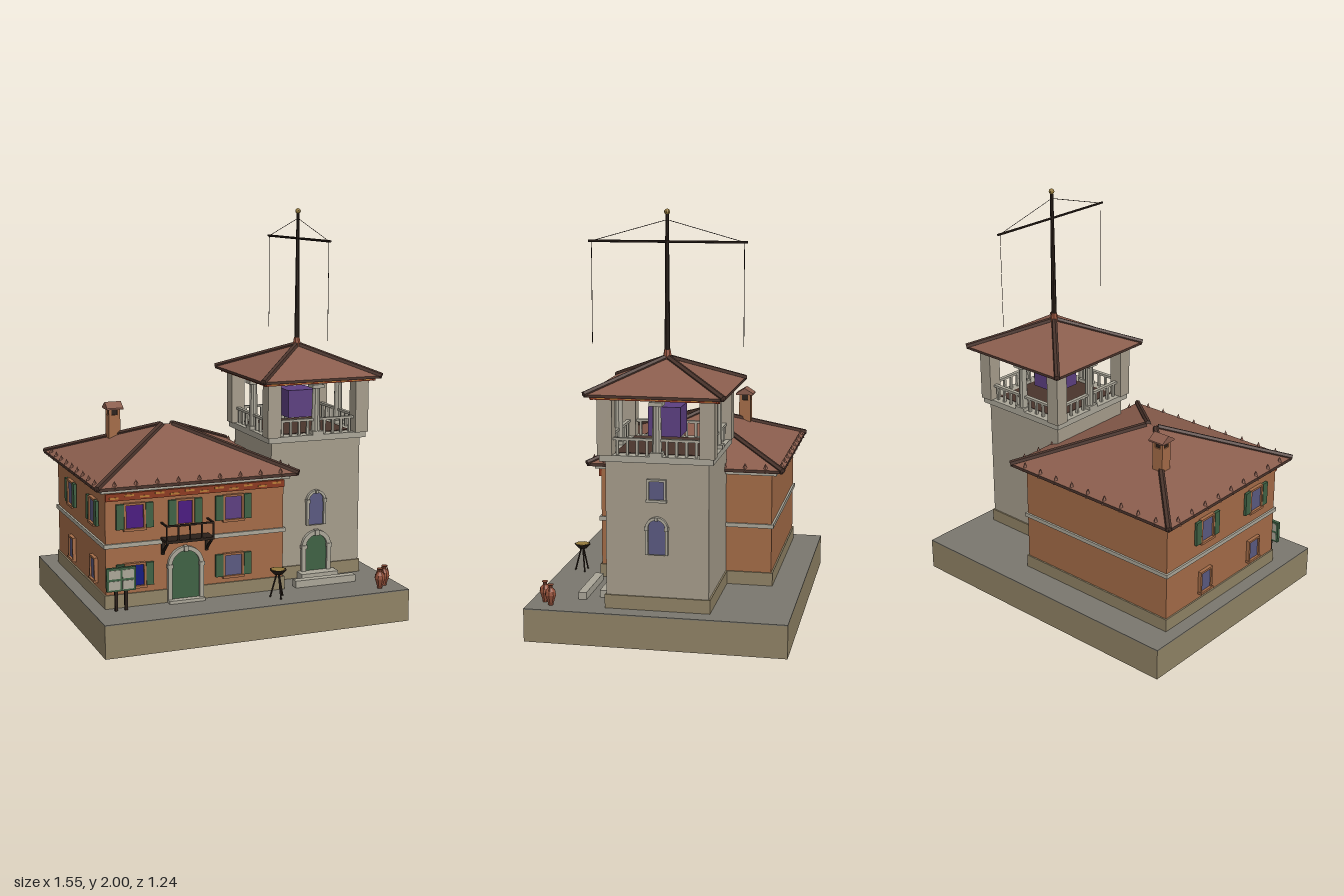
import * as THREE from 'three';

const C = {
  soil: 0x8f8265, paving: 0x7a776e, wall: 0xa36b47, tower: 0xa59c8b, stone: 0xaaa698, roof: 0x8a5d4d,
  hip: 0x4a342c, red: 0x8c3a20, orange: 0xb87a35, green: 0x3f6144, dark: 0x2b2019, purple: 0x5c3f80,
  violet: 0x4a1a80, slate: 0x5a5980, blue: 0x141a80, gold: 0x94793c, clay: 0x94513a,
};
const mats = {};
const mat = (c) => (mats[c] ??= new THREE.MeshStandardMaterial({ color: c, flatShading: true }));

function add(parent, name, geo, color, x = 0, y = 0, z = 0) {
  const m = new THREE.Mesh(geo, mat(color));
  m.name = name;
  m.position.set(x, y, z);
  parent.add(m);
  return m;
}
// box standing on height y
const box = (p, name, c, w, h, d, x, y, z) => add(p, name, new THREE.BoxGeometry(w, h, d), c, x, y + h / 2, z);

function group(parent, name, x = 0, y = 0, z = 0, ry = 0) {
  const g = new THREE.Group();
  g.name = name;
  g.position.set(x, y, z);
  g.rotation.y = ry;
  parent.add(g);
  return g;
}

// round or square rod between two points
function rod(p, name, c, a, b, r0, r1 = r0, sides = 6) {
  const A = new THREE.Vector3(...a), B = new THREE.Vector3(...b), d = B.clone().sub(A);
  const m = add(p, name, new THREE.CylinderGeometry(r1, r0, d.length(), sides), c);
  m.position.copy(A).add(B).multiplyScalar(0.5);
  m.quaternion.setFromUnitVectors(new THREE.Vector3(0, 1, 0), d.normalize());
  return m;
}

// hipped roof: a box whose top shrinks to a short ridge, with eave slab and hip beams
function hipRoof(p, w, d, h, rw, rd, eave, x, y, z) {
  const g = group(p, 'roof', x, y, z);
  box(g, 'eaveSlab', C.hip, w, eave, d, 0, 0, 0);
  const geo = new THREE.BoxGeometry(w, h, d), v = geo.attributes.position;
  for (let i = 0; i < v.count; i++)
    if (v.getY(i) > 0) v.setXYZ(i, Math.sign(v.getX(i)) * rw / 2, h / 2, Math.sign(v.getZ(i)) * rd / 2);
  geo.computeVertexNormals();
  add(g, 'roofSlopes', geo, C.roof, 0, eave + h / 2, 0);
  for (const sx of [-1, 1]) for (const sz of [-1, 1])
    rod(g, 'hipBeam', C.hip, [sx * w / 2, eave, sz * d / 2], [sx * rw / 2, eave + h, sz * rd / 2], 0.015);
  return g;
}

function archShape(w, h, S = THREE.Shape) {
  const s = new S(), r = w / 2;
  s.moveTo(-r, 0);
  s.lineTo(r, 0);
  s.lineTo(r, h - r);
  s.absarc(0, h - r, r, 0, Math.PI, false);
  s.lineTo(-r, 0);
  return s;
}

// arched opening facing +z: panel, stone surround, impost blocks and keystone
function arch(p, name, c, w, h, t, x, y, z, ry = 0) {
  const g = group(p, name, x, y, z, ry);
  const ext = (s, depth) => new THREE.ExtrudeGeometry(s, { depth, bevelEnabled: false, curveSegments: 8 });
  add(g, 'panel', ext(archShape(w, h), 0.006), c);
  const frame = archShape(w + 2 * t, h + t);
  frame.holes.push(archShape(w, h, THREE.Path));
  add(g, 'stoneSurround', ext(frame, 0.018), C.stone);
  for (const s of [-1, 1]) box(g, 'impost', C.stone, t * 1.3, 0.018, 0.024, s * (w + t) / 2, h - w / 2 - 0.01, 0.012);
  box(g, 'keystone', C.stone, t, t * 1.3, 0.026, 0, h - 0.003, 0.013);
  return g;
}

// rectangular window facing +z with optional shutters
function squareWindow(p, c, w, h, x, y, z, ry, shutters, frame = C.wall) {
  const g = group(p, 'window', x, y, z, ry);
  box(g, 'glass', c, w, h, 0.01, 0, 0, 0.005);
  for (const s of [-1, 1]) {
    box(g, 'jamb', frame, 0.01, h, 0.02, s * (w / 2 + 0.005), 0, 0.008);
    if (shutters) box(g, 'shutter', C.green, 0.037, h + 0.01, 0.014, s * (w / 2 + 0.03), -0.002, 0.012);
  }
  box(g, 'lintel', frame, w + 0.02, 0.01, 0.02, 0, h, 0.008);
  box(g, 'sill', frame, w + 0.025, 0.012, 0.026, 0, -0.012, 0.01);
}

function house(root) {
  const g = group(root, 'house', -0.25, 0, -0.04);
  const W = 0.9, D = 0.854, F = D / 2;
  box(g, 'walls', C.wall, W, 0.58, D, 0, 0.16, 0);
  box(g, 'plinth', C.soil, W + 0.015, 0.065, D + 0.015, 0, 0.16, 0);
  box(g, 'stringCourse', C.stone, W + 0.02, 0.02, D + 0.02, 0, 0.45, 0);
  box(g, 'soffit', C.stone, W + 0.05, 0.018, D + 0.05, 0, 0.717, 0);
  box(g, 'frieze', C.red, W, 0.035, 0.015, 0, 0.675, F + 0.005);
  for (let i = 0; i < 12; i++)
    box(g, 'friezeBlock', C.orange, 0.045, 0.009, 0.012, -0.41 + i * 0.0745, i % 2 ? 0.694 : 0.684, F + 0.009);
  // roof with pointed eave tiles
  const RW = 1.01, RD = 0.97, roof = hipRoof(g, RW, RD, 0.19, 0.06, 0.015, 0.015, 0, 0.735, 0);
  const tile = (x, z) => add(roof, 'eaveTile', new THREE.ConeGeometry(0.02, 0.045, 4), C.roof, x, 0.022, z);
  for (let i = 0; i < 9; i++) for (const s of [-1, 1]) {
    tile((i - 4) * 0.104, s * (RD / 2 - 0.015));
    tile(s * (RW / 2 - 0.015), (i - 4) * 0.1);
  }
  // windows
  [[-0.31, C.violet, 0.085], [-0.06, C.violet, 0.07], [0.185, C.purple, 0.085]].forEach(([x, c, w]) =>
    squareWindow(g, c, w, 0.11, x, 0.54, F, 0, true));
  squareWindow(g, C.blue, 0.085, 0.1, -0.31, 0.262, F, 0, true);
  squareWindow(g, C.slate, 0.085, 0.1, 0.185, 0.262, F, 0, true);
  for (const z of [-0.14, 0.25]) {
    squareWindow(g, C.slate, 0.08, 0.11, -W / 2, 0.54, z, -Math.PI / 2, true);
    squareWindow(g, C.slate, 0.07, 0.1, -W / 2, 0.262, z, -Math.PI / 2, false);
  }
  // entrance
  arch(g, 'frontDoor', C.green, 0.14, 0.235, 0.02, -0.06, 0.175, F + 0.005);
  box(g, 'doorstep', C.stone, 0.18, 0.015, 0.045, -0.06, 0.16, F + 0.022);
  // balcony
  const b = group(g, 'balcony', -0.06, 0.467, F);
  box(b, 'deck', C.dark, 0.24, 0.013, 0.085, 0, 0, 0.042);
  box(b, 'rail', C.dark, 0.24, 0.008, 0.008, 0, 0.08, 0.08);
  for (let i = 0; i < 5; i++) box(b, 'railPost', C.dark, 0.007, 0.08, 0.007, (i - 2) * 0.058, 0.005, 0.08);
  for (const s of [-1, 1]) {
    box(b, 'sideRail', C.dark, 0.008, 0.008, 0.08, s * 0.116, 0.08, 0.042);
    rod(b, 'bracket', C.dark, [s * 0.11, 0, 0.075], [s * 0.11, -0.06, 0.005], 0.007);
    box(b, 'wallBracket', C.dark, 0.014, 0.075, 0.012, s * 0.11, -0.07, 0.006);
  }
  // chimney with open sides and a small gabled cap
  const c = group(g, 'chimney', -0.22, 0.8, -0.195);
  box(c, 'stack', C.wall, 0.06, 0.17, 0.06, 0, 0, 0);
  box(c, 'flue', C.dark, 0.046, 0.04, 0.046, 0, 0.165, 0);
  for (const x of [-1, 1]) for (const z of [-1, 1]) box(c, 'corner', C.wall, 0.014, 0.035, 0.014, x * 0.023, 0.168, z * 0.023);
  const cap = new THREE.Shape([[-0.045, 0], [0.045, 0], [0.045, 0.008], [0, 0.036], [-0.045, 0.008]].map((q) => new THREE.Vector2(...q)));
  add(c, 'cap', new THREE.ExtrudeGeometry(cap, { depth: 0.085, bevelEnabled: false }), C.roof, -0.0425, 0.2, 0).rotation.y = Math.PI / 2;
}

function tower(root) {
  const g = group(root, 'tower', 0.44, 0, 0), H = 0.242;
  box(g, 'shaft', C.tower, 2 * H, 0.71, 2 * H, 0, 0.16, 0);
  box(g, 'plinth', C.soil, 2 * H + 0.015, 0.065, 2 * H + 0.015, 0, 0.16, 0);
  box(g, 'cornice', C.stone, 0.53, 0.03, 0.53, 0, 0.862, 0);
  box(g, 'floor', C.hip, 0.41, 0.004, 0.41, 0, 0.891, 0);
  arch(g, 'towerDoor', C.green, 0.115, 0.185, 0.022, 0, 0.195, H + 0.006);
  box(g, 'threshold', C.stone, 0.2, 0.035, 0.07, 0, 0.16, H + 0.035);
  box(g, 'frontStep', C.stone, 0.325, 0.035, 0.04, -0.013, 0.16, 0.385);
  arch(g, 'frontWindow', C.slate, 0.08, 0.165, 0.013, 0, 0.43, H);
  arch(g, 'sideWindow', C.slate, 0.08, 0.165, 0.013, H, 0.43, 0, Math.PI / 2);
  squareWindow(g, C.slate, 0.07, 0.085, H, 0.69, 0, Math.PI / 2, false, C.stone);
  // open belvedere: four identical sides
  for (let k = 0; k < 4; k++) {
    const s = group(g, 'belvedereSide', 0, 0, 0, k * Math.PI / 2);
    box(s, 'cornerPost', C.tower, 0.07, 0.275, 0.07, 0.238, 0.89, 0.238);
    box(s, 'columnBase', C.stone, 0.058, 0.02, 0.058, 0, 0.89, 0.238);
    add(s, 'column', new THREE.CylinderGeometry(0.019, 0.023, 0.22, 10), C.stone, 0, 1.02, 0.238);
    box(s, 'capital', C.stone, 0.062, 0.018, 0.062, 0, 1.125, 0.238);
    box(s, 'topBlock', C.stone, 0.045, 0.025, 0.045, 0, 1.14, 0.238);
    box(s, 'handrail', C.stone, 0.41, 0.012, 0.02, 0, 0.96, 0.238);
    for (let i = -4; i <= 4; i++) if (i) box(s, 'baluster', C.stone, 0.012, 0.075, 0.012, i * 0.046, 0.888, 0.238);
    box(s, 'frieze', C.red, 0.6, 0.016, 0.012, 0, 1.152, 0.288);
    for (let i = -4; i <= 4; i++) box(s, 'friezeBlock', C.orange, 0.035, 0.007, 0.01, i * 0.062, 1.157, 0.291);
  }
  box(g, 'lanternRoom', C.purple, 0.154, 0.14, 0.154, 0, 0.95, 0);
  hipRoof(g, 0.64, 0.64, 0.135, 0.01, 0.01, 0.013, 0, 1.165, 0);
  // mast with yard and rigging
  const m = group(g, 'mast');
  add(m, 'mastCollar', new THREE.CylinderGeometry(0.015, 0.024, 0.05, 8), C.clay, 0, 1.325, 0);
  rod(m, 'pole', C.dark, [0, 1.3, 0], [0, 1.98, 0], 0.014, 0.008, 8);
  add(m, 'finial', new THREE.SphereGeometry(0.014, 10, 8), C.gold, 0, 1.986, 0);
  rod(m, 'yard', C.dark, [0, 1.85, -0.375], [0, 1.85, 0.375], 0.006);
  for (const s of [-1, 1]) {
    rod(m, 'stay', C.dark, [0, 1.95, 0], [0, 1.85, s * 0.36], 0.0015, 0.0015, 4);
    rod(m, 'halyard', C.dark, [0, 1.85, s * 0.36], [0, 1.37, s * 0.36], 0.0015, 0.0015, 4);
  }
}

function props(root) {
  // notice board
  const n = group(root, 'noticeBoard', -0.64, 0.16, 0.43);
  for (const s of [-1, 1]) box(n, 'post', C.dark, 0.014, 0.13, 0.014, s * 0.024, 0, 0);
  box(n, 'board', C.green, 0.142, 0.112, 0.018, 0, 0.095, 0);
  for (const x of [-1, 1]) for (const y of [0, 1])
    box(n, 'sheet', C.stone, 0.055, 0.041, 0.022, x * 0.033, 0.104 + y * 0.052, 0.001);
  // brazier on a tripod
  const b = group(root, 'brazier', 0.122, 0.16, 0.51);
  for (let i = 0; i < 3; i++) {
    const a = Math.PI / 2 + i * Math.PI * 2 / 3, x = Math.cos(a), z = Math.sin(a);
    rod(b, 'leg', C.dark, [x * 0.038, 0, z * 0.038], [x * 0.006, 0.12, z * 0.006], 0.004);
  }
  add(b, 'bowl', new THREE.CylinderGeometry(0.042, 0.02, 0.024, 8), C.dark, 0, 0.128, 0);
  add(b, 'embers', new THREE.CylinderGeometry(0.036, 0.036, 0.004, 8), C.gold, 0, 0.14, 0);
  // clay jars
  const profile = [[0, 0], [0.012, 0], [0.014, 0.01], [0.027, 0.05], [0.024, 0.068], [0.01, 0.084], [0.01, 0.094], [0.016, 0.1], [0, 0.1]];
  for (const [x, z] of [[0.65, 0.55], [0.695, 0.51]]) {
    const j = group(root, 'jar', x, 0.16, z);
    add(j, 'jarBody', new THREE.LatheGeometry(profile.map((q) => new THREE.Vector2(...q)), 8), C.clay);
    for (const s of [-1, 1]) rod(j, 'handle', C.clay, [s * 0.023, 0.066, 0], [s * 0.012, 0.096, 0], 0.003);
  }
}

export function createModel() {
  const root = new THREE.Group();
  root.name = 'harbourHouse';
  box(root, 'baseBlock', C.soil, 1.55, 0.155, 1.24, 0, 0, 0);
  box(root, 'paving', C.paving, 1.55, 0.005, 1.24, 0, 0.155, 0);
  house(root);
  tower(root);
  props(root);
  return root;
}
